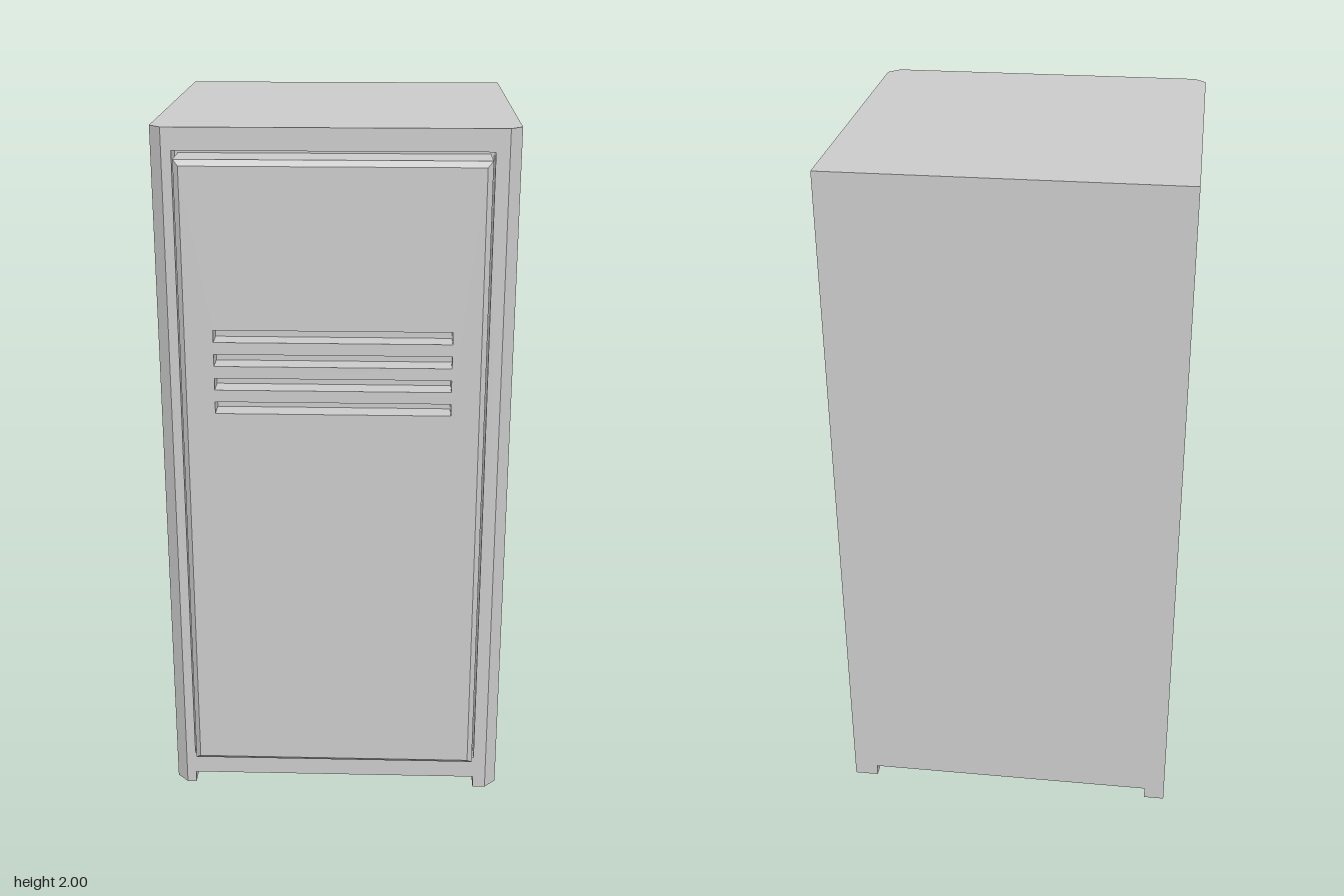
import * as THREE from 'three';

const material = new THREE.MeshStandardMaterial({ color: 0xcccccc, flatShading: true });

// Main dimensions
const W = 0.49, BACK = -0.52, FRONT = 0.465, CHAMFER = 0.033;
const OPEN_L = -0.43, OPEN_R = 0.42, OPEN_BOTTOM = 0.103, OPEN_TOP = 1.939;
const RECESS = 0.4, FOOT_H = 0.035;

function add(group, name, geometry) {
  const mesh = new THREE.Mesh(geometry, material);
  mesh.name = name;
  group.add(mesh);
  return mesh;
}

// Extrudes a floor plan of [x, z] corners from height y0 to y1
function planSolid(corners, y0, y1) {
  const shape = new THREE.Shape(corners.map(([x, z]) => new THREE.Vector2(x, -z)));
  const geometry = new THREE.ExtrudeGeometry(shape, { depth: y1 - y0, bevelEnabled: false });
  return geometry.rotateX(-Math.PI / 2).translate(0, y0, 0);
}

function rectangle(path, x0, y0, x1, y1) {
  return path.moveTo(x0, y0).lineTo(x1, y0).lineTo(x1, y1).lineTo(x0, y1).closePath();
}

// Door leaf with louvre slots and a bevelled front rim
function doorGeometry(x0, y0, x1, y1, depth, bevel) {
  const shape = new THREE.Shape();
  rectangle(shape, x0, y0, x1, y1);
  for (let i = 0; i < 4; i++) {
    const y = 1.228 + i * 0.068;
    shape.holes.push(rectangle(new THREE.Path(), -0.328, y, 0.319, y + 0.034));
  }
  const geometry = new THREE.ExtrudeGeometry(shape, {
    depth, steps: Math.round(depth / bevel), bevelEnabled: false,
  });
  // Pull the outer corners of the front face inward
  const p = geometry.attributes.position;
  const near = (a, b) => Math.abs(a - b) < 1e-4;
  for (let i = 0; i < p.count; i++) {
    if (!near(p.getZ(i), depth)) continue;
    const x = p.getX(i), y = p.getY(i);
    if (near(x, x0)) p.setX(i, x0 + bevel);
    if (near(x, x1)) p.setX(i, x1 - bevel);
    if (near(y, y0)) p.setY(i, y0 + bevel);
    if (near(y, y1)) p.setY(i, y1 - bevel);
  }
  geometry.computeVertexNormals();
  return geometry;
}

export function createModel() {
  const locker = new THREE.Group();
  locker.name = 'locker';

  // Cabinet: slabs and a recessed middle, all with chamfered front corners
  const cabinet = new THREE.Group();
  cabinet.name = 'cabinet';
  locker.add(cabinet);
  const rightEdge = [[-W + CHAMFER, FRONT], [-W, FRONT - CHAMFER], [-W, BACK]];
  const leftEdge = [[W, BACK], [W, FRONT - CHAMFER], [W - CHAMFER, FRONT]];
  const full = [...rightEdge, ...leftEdge];
  const recessed = [...full,
    [OPEN_R, FRONT], [OPEN_R, RECESS], [OPEN_L, RECESS], [OPEN_L, FRONT]];

  add(cabinet, 'bottomPanel', planSolid(full, FOOT_H, OPEN_BOTTOM));
  add(cabinet, 'doorFrame', planSolid(recessed, OPEN_BOTTOM, OPEN_TOP));
  add(cabinet, 'topPanel', planSolid(full, OPEN_TOP, 2));

  // Runner feet along both sides
  add(cabinet, 'rightFoot', planSolid([...rightEdge, [OPEN_L, BACK], [OPEN_L, FRONT]], 0, FOOT_H));
  add(cabinet, 'leftFoot', planSolid([...leftEdge, [OPEN_R, FRONT], [OPEN_R, BACK]], 0, FOOT_H));

  // Door: slotted leaf on a solid backing
  const door = new THREE.Group();
  door.name = 'door';
  locker.add(door);
  const [x0, y0, x1, y1] = [-0.421, 0.114, 0.412, 1.923];
  add(door, 'doorLeaf', doorGeometry(x0, y0, x1, y1, 0.06, 0.015)).position.z = 0.46;
  add(door, 'doorBacking', new THREE.BoxGeometry(x1 - x0, y1 - y0, 0.06))
    .position.set((x0 + x1) / 2, (y0 + y1) / 2, 0.43);

  return locker;
}
